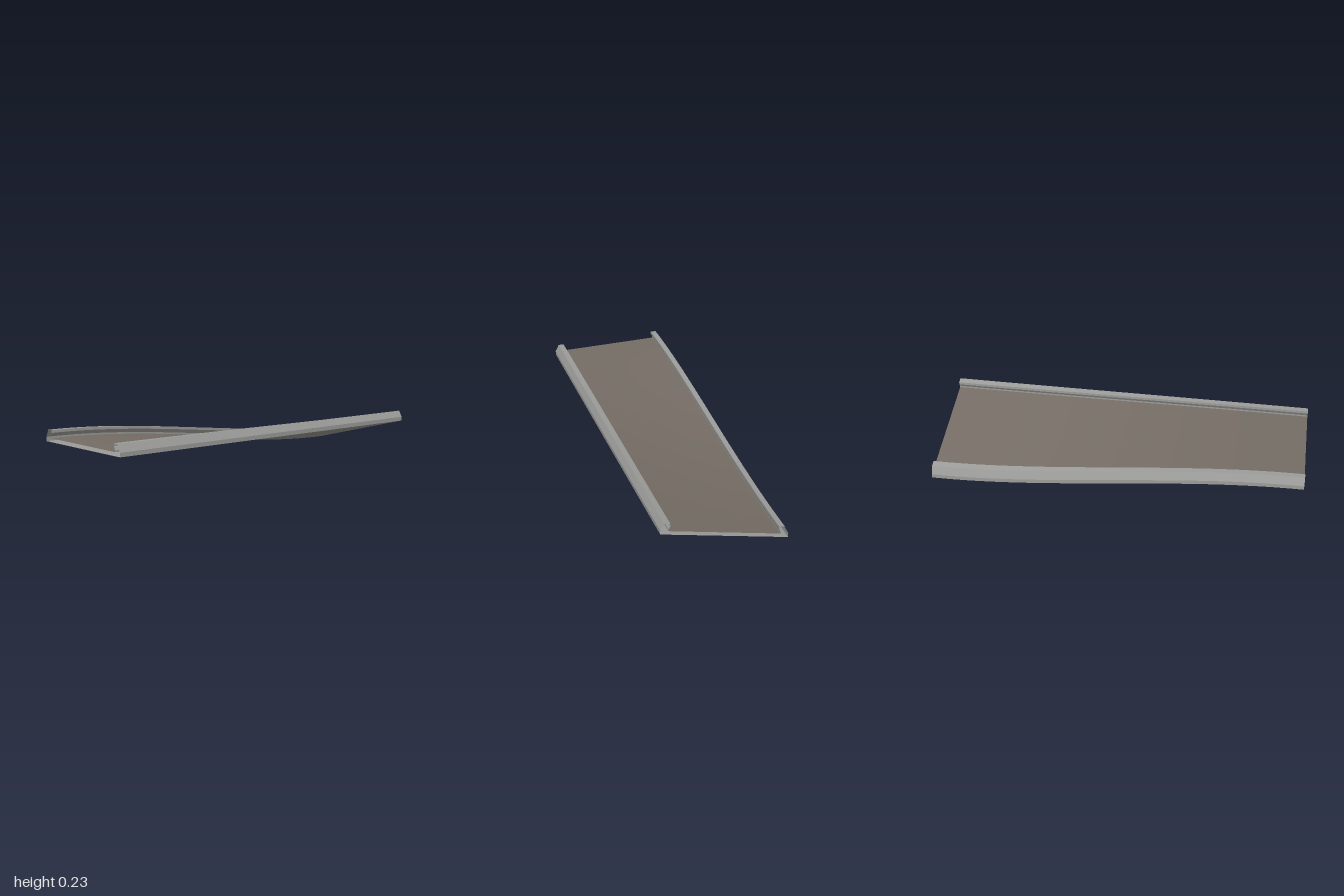
import * as THREE from 'three';

const HALF_WIDTH = 0.333, DROP = 0.168, STEPS = 40;

// The right (-x) edge sinks along an S-curve towards the back; the left edge stays level
function bank(x, y, z) {
  const t = (1 - z) / 2;
  const ease = t * t * (3 - 2 * t);
  return [x, y - DROP * ease * (HALF_WIDTH - x) / (2 * HALF_WIDTH), z];
}

// Sweep one straight profile edge from back to front, smooth along the length
function strip([x0, y0], [x1, y1]) {
  const across = Math.abs(x1 - x0) > 0.2 ? 8 : 1;
  const pos = [], index = [];
  for (let i = 0; i <= STEPS; i++) {
    const z = -1 + 2 * i / STEPS;
    for (let j = 0; j <= across; j++) {
      const k = j / across;
      pos.push(...bank(x0 + (x1 - x0) * k, y0 + (y1 - y0) * k, z));
    }
  }
  const row = across + 1;
  for (let i = 0; i < STEPS; i++) {
    for (let j = 0; j < across; j++) {
      const a = i * row + j, b = a + 1, c = a + row, d = c + 1;
      index.push(a, c, b, b, c, d);
    }
  }
  const geo = new THREE.BufferGeometry();
  geo.setAttribute('position', new THREE.Float32BufferAttribute(pos, 3));
  geo.setIndex(index);
  geo.computeVertexNormals();
  return geo;
}

export function createModel() {
  const group = new THREE.Group();
  const metal = new THREE.MeshStandardMaterial({ color: 0x9c9c9a, side: THREE.DoubleSide });
  metal.name = 'grey metal';
  const surface = new THREE.MeshStandardMaterial({ color: 0x756d65, side: THREE.DoubleSide });
  surface.name = 'brown road surface';

  const add = (name, parent, from, to, material) => {
    const mesh = new THREE.Mesh(strip(from, to), material);
    mesh.name = name;
    parent.add(mesh);
  };

  // Road deck and underside, hollow between and open at both ends
  add('roadDeck', group, [-0.292, 0.188], [0.292, 0.188], surface);
  add('underside', group, [HALF_WIDTH, 0.168], [-HALF_WIDTH, 0.168], metal);

  // Rail profile from the outer foot, over the top, to the deck
  const profile = [[0.333, 0.168], [0.333, 0.19], [0.313, 0.23],
    [0.282, 0.23], [0.282, 0.216], [0.292, 0.197], [0.292, 0.188]];
  const faces = ['outerWall', 'outerBevel', 'railTop', 'railLip', 'lipUnderside', 'innerWall'];
  for (const side of [1, -1]) {
    const rail = new THREE.Group();
    rail.name = side > 0 ? 'leftRail' : 'rightRail';
    faces.forEach((name, i) => {
      const a = [profile[i][0] * side, profile[i][1]];
      const b = [profile[i + 1][0] * side, profile[i + 1][1]];
      // Reverse the level-side edges so every face points outwards
      if (side > 0) add(name, rail, b, a, metal);
      else add(name, rail, a, b, metal);
    });
    group.add(rail);
  }
  return group;
}
